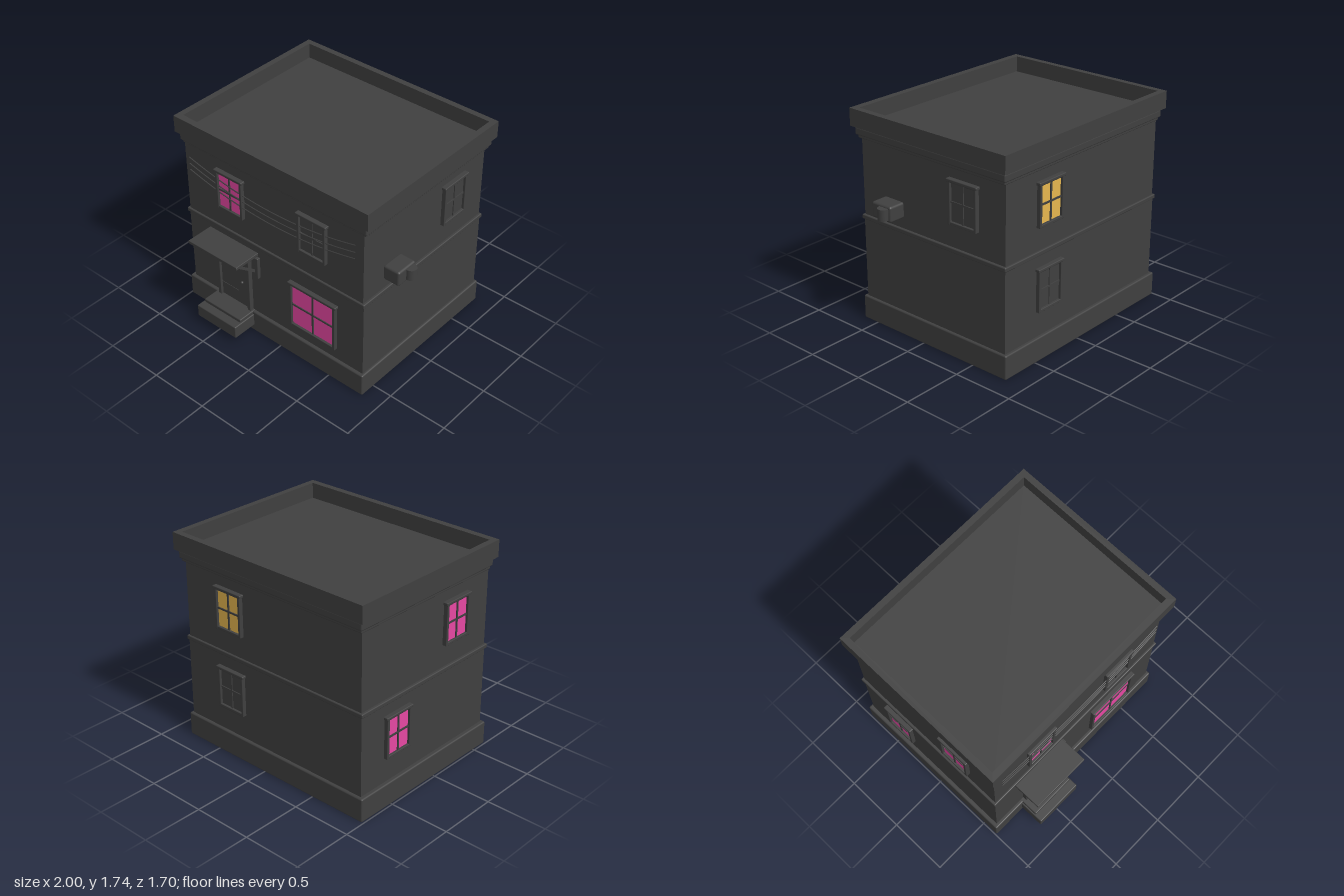
import * as THREE from 'three';
import { RoundedBoxGeometry } from 'three/addons/geometries/RoundedBoxGeometry.js';

const mat = (name, color) => {
  const m = new THREE.MeshStandardMaterial({ color });
  m.name = name;
  return m;
};

export function createModel() {
  const house = new THREE.Group();
  house.name = 'townhouse';
  const wall = mat('charcoal', 0x404040);
  const pink = mat('pinkGlass', 0xff50b4);
  const amber = mat('amberGlass', 0xffca58);

  const add = (parent, name, geometry, material = wall) => {
    const mesh = new THREE.Mesh(geometry, material);
    mesh.name = name;
    parent.add(mesh);
    return mesh;
  };
  // Box given by its extents; r rounds the edges
  const box = (parent, name, x0, x1, y0, y1, z0, z1, r = 0, material = wall) => {
    const w = x1 - x0, h = y1 - y0, d = z1 - z0;
    const g = r ? new RoundedBoxGeometry(w, h, d, 2, r) : new THREE.BoxGeometry(w, h, d);
    g.translate((x0 + x1) / 2, (y0 + y1) / 2, (z0 + z1) / 2);
    return add(parent, name, g, material);
  };

  // Main storeys and mouldings
  box(house, 'plinth', -0.99, 0.835, 0, 0.197, -0.828, 0.64, 0.012);
  box(house, 'lowerStorey', -0.957, 0.815, 0.18, 0.87, -0.803, 0.613);
  box(house, 'upperStorey', -0.952, 0.808, 0.87, 1.56, -0.8, 0.613);
  box(house, 'floorBand', -0.973, 0.828, 0.85, 0.886, -0.815, 0.628, 0.008);
  box(house, 'corniceLower', -0.96, 0.835, 1.505, 1.535, -0.815, 0.625, 0.008);
  box(house, 'corniceUpper', -0.973, 0.85, 1.53, 1.592, -0.83, 0.642, 0.012);

  // Roof deck inside a hollow parapet
  box(house, 'roofDeck', -0.97, 0.845, 1.585, 1.612, -0.825, 0.635);
  const rim = (s, x0, x1, y0, y1) => {
    s.moveTo(x0, y0); s.lineTo(x1, y0); s.lineTo(x1, y1); s.lineTo(x0, y1); s.closePath();
    return s;
  };
  const parapet = rim(new THREE.Shape(), -1, 0.876, -0.662, 0.853);
  parapet.holes.push(rim(new THREE.Path(), -0.95, 0.826, -0.608, 0.803));
  const parapetGeo = new THREE.ExtrudeGeometry(parapet, { depth: 0.14, bevelEnabled: false });
  parapetGeo.rotateX(-Math.PI / 2).translate(0, 1.6, 0);
  add(house, 'parapet', parapetGeo);

  // Window in its own frame: origin on the wall, +z facing outward
  const addWindow = (name, w, h, x, y, z, turn, glass) => {
    const g = new THREE.Group();
    g.name = name;
    g.position.set(x, y, z);
    g.rotation.y = turn;
    const a = w / 2, b = h / 2, t = 0.023;
    box(g, 'pane', -a + 0.01, a - 0.01, -b + 0.01, b - 0.01, 0.003, 0.012, 0, glass);
    for (const s of [-1, 1]) {
      const cx = s * (a - t / 2), cy = s * (b - t / 2);
      box(g, 'jamb', cx - t / 2, cx + t / 2, -b, b, -0.01, 0.032, 0.004);
      box(g, 'rail', -a, a, cy - t / 2, cy + t / 2, -0.01, 0.031, 0.004);
    }
    box(g, 'verticalBar', -0.007, 0.007, -b + t, b - t, 0, 0.02);
    box(g, 'crossBar', -a + t, a - t, -0.007, 0.007, 0, 0.02);
    box(g, 'cap', -a - 0.01, a + 0.01, b - 0.018, b + 0.006, -0.01, 0.037, 0.006);
    house.add(g);
  };
  const H = Math.PI / 2;
  addWindow('frontUpperWindowRight', 0.27, 0.345, -0.48, 1.243, 0.613, 0, pink);
  addWindow('frontUpperWindowLeft', 0.27, 0.345, 0.338, 1.243, 0.613, 0, wall);
  addWindow('frontLowerWindow', 0.455, 0.42, 0.337, 0.51, 0.613, 0, pink);
  addWindow('leftSideWindow', 0.27, 0.345, 0.81, 1.245, -0.418, H, wall);
  addWindow('rightSideUpperWindow', 0.27, 0.345, -0.955, 1.243, 0.225, -H, pink);
  addWindow('rightSideLowerWindow', 0.27, 0.345, -0.957, 0.575, -0.42, -H, pink);
  addWindow('backUpperWindow', 0.27, 0.345, 0.34, 1.243, -0.8, Math.PI, amber);
  addWindow('backLowerWindow', 0.27, 0.345, 0.34, 0.575, -0.802, Math.PI, wall);

  // Door with frame, kick line, peephole and knob
  const door = new THREE.Group();
  door.name = 'door';
  house.add(door);
  box(door, 'leaf', -0.63, -0.31, 0.19, 0.72, 0.6, 0.628);
  for (const x of [-0.64, -0.32]) {
    box(door, 'doorPost', x - 0.016, x + 0.016, 0.19, 0.73, 0.6, 0.65, 0.004);
  }
  box(door, 'lintel', -0.665, -0.298, 0.715, 0.75, 0.6, 0.655, 0.006);
  box(door, 'kickLine', -0.625, -0.45, 0.318, 0.323, 0.627, 0.632);
  add(door, 'knob', new THREE.SphereGeometry(0.012, 16, 10)).position.set(-0.395, 0.433, 0.637);
  add(door, 'peephole', new THREE.SphereGeometry(0.005, 10, 6)).position.set(-0.452, 0.57, 0.63);

  // Steps
  box(house, 'lowerStep', -0.698, -0.278, 0.06, 0.17, 0.6, 0.852, 0.008);
  box(house, 'upperStep', -0.685, -0.288, 0.16, 0.198, 0.6, 0.782, 0.008);

  // Awning with diagonal brackets
  box(house, 'awning', -0.74, -0.227, 0.775, 0.803, 0.605, 0.85, 0.004);
  for (const x of [-0.703, -0.262]) {
    const strut = add(house, 'awningBracket', new THREE.BoxGeometry(0.02, 0.018, 0.25));
    strut.position.set(x, 0.693, 0.715);
    strut.rotation.x = -Math.atan2(0.145, 0.175);
  }
  box(house, 'wallPlate', -0.242, -0.21, 0.57, 0.765, 0.605, 0.642, 0.004);

  // Wall unit with upright drum
  box(house, 'wallUnit', 0.8, 0.947, 0.97, 1.097, 0.19, 0.386, 0.018);
  add(house, 'wallUnitDrum', new THREE.CylinderGeometry(0.046, 0.046, 0.09, 24))
    .position.set(0.954, 1.035, 0.256);

  // Sagging cables across the front
  for (const [y0, sag, y1] of [[1.4, 1.29, 1.4], [1.343, 1.232, 1.336], [1.288, 1.175, 1.28]]) {
    const mid = 2 * sag - (y0 + y1) / 2;
    const curve = new THREE.QuadraticBezierCurve3(
      new THREE.Vector3(-0.89, y0, 0.635),
      new THREE.Vector3(-0.07, mid, 0.635),
      new THREE.Vector3(0.75, y1, 0.635));
    add(house, 'cable', new THREE.TubeGeometry(curve, 32, 0.005, 6));
  }
  return house;
}
